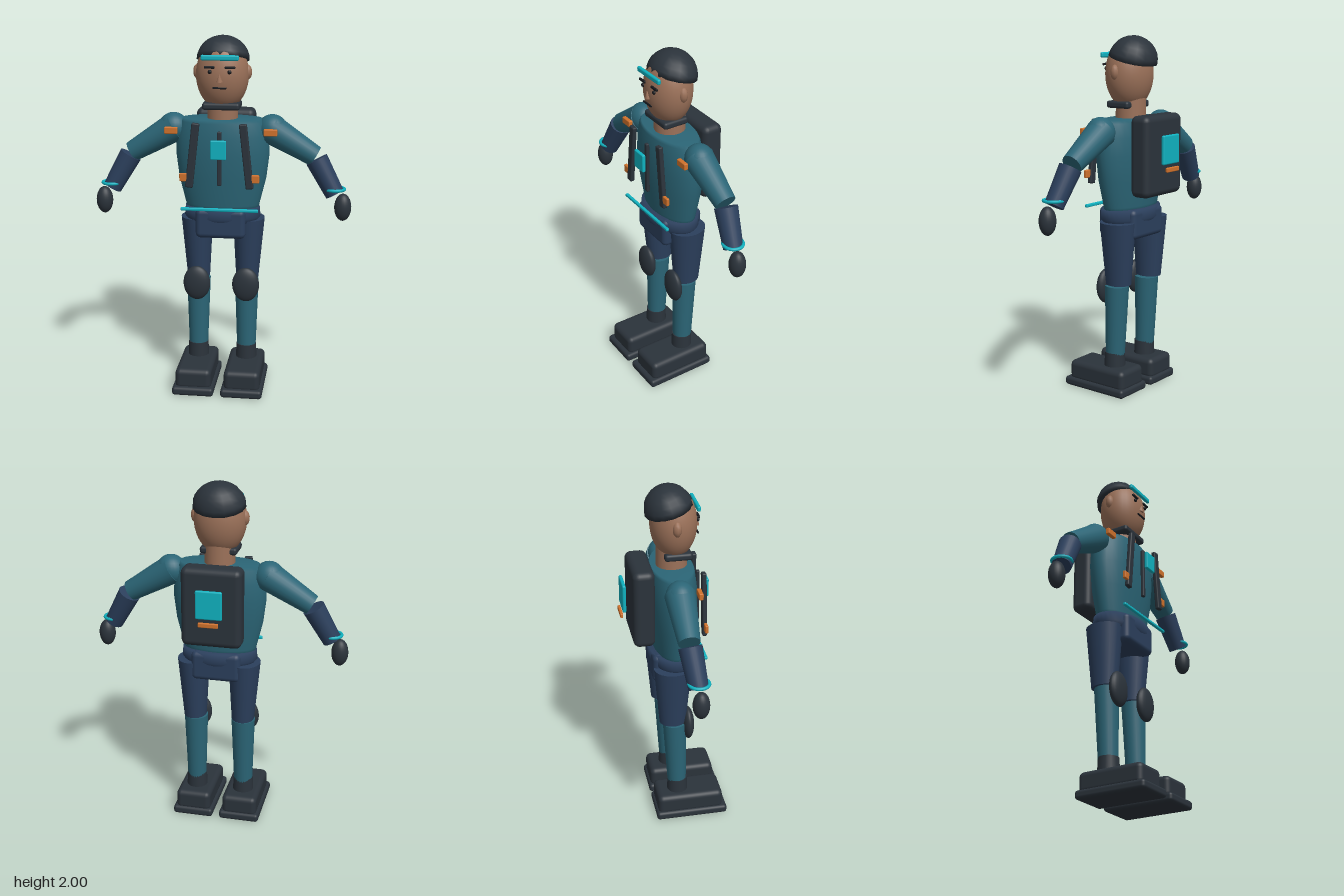
import * as THREE from 'three';
import { RoundedBoxGeometry } from 'three/addons/geometries/RoundedBoxGeometry.js';

const mat = (name, color) => {
  const m = new THREE.MeshStandardMaterial({ color });
  m.name = name;
  return m;
};

export function createModel() {
  const suit = mat('suit teal', 0x2b6576);
  const navy = mat('navy cloth', 0x2b3f5c);
  const dark = mat('charcoal', 0x2b333b);
  const skin = mat('skin', 0x9b7159);
  const cyan = mat('cyan accent', 0x10b2c0);
  const orange = mat('orange accent', 0xd0722c);
  const ink = mat('face dark', 0x17191d);
  const model = new THREE.Group();
  model.name = 'explorer';

  const add = (name, geo, material, x = 0, y = 0, z = 0) => {
    const mesh = new THREE.Mesh(geo, material);
    mesh.name = name;
    mesh.position.set(x, y, z);
    model.add(mesh);
    return mesh;
  };
  const box = (name, material, w, h, d, x, y, z, r = 0.3 * Math.min(w, h, d)) =>
    add(name, new RoundedBoxGeometry(w, h, d, 3, r), material, x, y, z);
  const ball = (name, material, rx, ry, rz, x, y, z, seg = 24) => {
    const mesh = add(name, new THREE.SphereGeometry(1, seg, Math.ceil(seg * 0.67)), material, x, y, z);
    mesh.scale.set(rx, ry, rz);
    return mesh;
  };
  const lathe = (name, material, pts, depth, seg = 32) => {
    const mesh = add(name, new THREE.LatheGeometry(pts.map(p => new THREE.Vector2(...p)), seg), material);
    mesh.scale.z = depth;
    return mesh;
  };
  // Tapered limb from point a to point b
  const limb = (name, material, a, b, ra, rb, seg = 24) => {
    const from = new THREE.Vector3(...a), to = new THREE.Vector3(...b);
    const dir = to.clone().sub(from);
    const mesh = add(name, new THREE.CylinderGeometry(rb, ra, dir.length(), seg), material);
    mesh.position.copy(from).add(to).multiplyScalar(0.5);
    mesh.quaternion.setFromUnitVectors(new THREE.Vector3(0, 1, 0), dir.normalize());
    return mesh;
  };

  // Torso and hips
  lathe('torso', suit, [[0, 1.03], [0.2, 1.03], [0.208, 1.07], [0.245, 1.22], [0.262, 1.36],
    [0.255, 1.46], [0.236, 1.535], [0.222, 1.552], [0, 1.555]], 0.51);
  lathe('hips', navy, [[0, 0.96], [0.19, 0.965], [0.215, 1.0], [0.21, 1.055], [0, 1.06]], 0.63);
  box('pelvis', navy, 0.28, 0.17, 0.255, 0, 0.973, 0, 0.03);
  box('waistLine', cyan, 0.43, 0.017, 0.018, 0, 1.065, 0.152);

  // Head
  limb('neck', skin, [0, 1.5, 0], [0, 1.68, 0], 0.086, 0.084);
  box('collar', dark, 0.206, 0.04, 0.15, 0, 1.627, 0.022, 0.015);
  ball('head', skin, 0.145, 0.195, 0.127, 0, 1.793, 0.01, 32);
  const cap = [[0, 0]];
  for (let i = 0; i <= 7; i++) {
    const t = i / 7 * Math.PI / 2;
    cap.push([i === 7 ? 0 : Math.cos(t), Math.sin(t)]);
  }
  const hair = lathe('hair', dark, cap, 1, 16);
  hair.scale.set(0.146, 0.132, 0.132);
  hair.position.set(0, 1.87, -0.014);
  hair.rotation.x = -0.27;
  box('visorBand', cyan, 0.206, 0.03, 0.02, 0, 1.895, 0.127, 0.009);
  box('mouth', ink, 0.075, 0.01, 0.008, 0, 1.735, 0.138);
  const nose = add('nose', new THREE.ConeGeometry(0.017, 0.045, 8), skin, 0, 1.79, 0.137);
  nose.rotation.x = 0.15;

  // Chest gear
  box('zip', dark, 0.024, 0.3, 0.02, 0, 1.35, 0.145);
  box('chestScreen', cyan, 0.086, 0.105, 0.02, 0, 1.408, 0.19, 0.006);

  // Backpack
  box('backpack', dark, 0.334, 0.445, 0.12, 0, 1.358, -0.175, 0.035);
  box('packScreen', cyan, 0.146, 0.16, 0.02, 0, 1.395, -0.27, 0.008);
  box('packTag', orange, 0.11, 0.026, 0.016, 0, 1.287, -0.284);

  // Mirrored parts
  for (const s of [1, -1]) {
    const side = s > 0 ? 'left' : 'right';
    // Face
    ball(side + 'Ear', skin, 0.028, 0.043, 0.026, s * 0.134, 1.806, 0.005, 10);
    ball(side + 'Eye', ink, 0.011, 0.011, 0.009, s * 0.053, 1.82, 0.131, 12);
    box(side + 'Brow', ink, 0.056, 0.013, 0.012, s * 0.056, 1.844, 0.131);

    // Arm
    ball(side + 'Shoulder', suit, 0.084, 0.084, 0.078, s * 0.275, 1.492, -0.005);
    limb(side + 'UpperArm', suit, [s * 0.265, 1.496, -0.005], [s * 0.513, 1.347, -0.006], 0.083, 0.058);
    limb(side + 'Forearm', navy, [s * 0.522, 1.33, -0.003], [s * 0.627, 1.143, 0.02], 0.063, 0.053);
    const cuff = add(side + 'Cuff', new THREE.TorusGeometry(0.053, 0.009, 8, 24), cyan, s * 0.627, 1.172, 0.022);
    cuff.rotation.x = Math.PI / 2;
    ball(side + 'Hand', dark, 0.047, 0.077, 0.045, s * 0.673, 1.07, 0.025);

    // Leg
    limb(side + 'Thigh', navy, [s * 0.147, 0.985, -0.02], [s * 0.14, 0.63, -0.02], 0.09, 0.064).scale.z = 1.18;
    limb(side + 'Shin', suit, [s * 0.139, 0.62, -0.008], [s * 0.14, 0.21, 0.005], 0.068, 0.054);
    ball(side + 'KneePad', dark, 0.077, 0.1, 0.035, s * 0.14, 0.607, 0.068);
    limb(side + 'Ankle', dark, [s * 0.14, 0.13, 0.008], [s * 0.14, 0.23, 0.008], 0.061, 0.057);
    box(side + 'Boot', dark, 0.204, 0.12, 0.385, s * 0.138, 0.09, 0.073, 0.03);
    box(side + 'Sole', dark, 0.235, 0.05, 0.42, s * 0.138, 0.025, 0.08, 0.018);

    // Straps and buckles
    box(side + 'Strap', dark, 0.043, 0.36, 0.026, s * 0.148, 1.367, 0.15, 0.008).rotation.z = s * 0.11;
    box(side + 'ShoulderTag', orange, 0.073, 0.037, 0.024, s * 0.273, 1.493, 0.1, 0.005);
    box(side + 'StrapBuckle', orange, 0.075, 0.045, 0.018, s * 0.182, 1.245, 0.153, 0.005);
  }
  return model;
}
